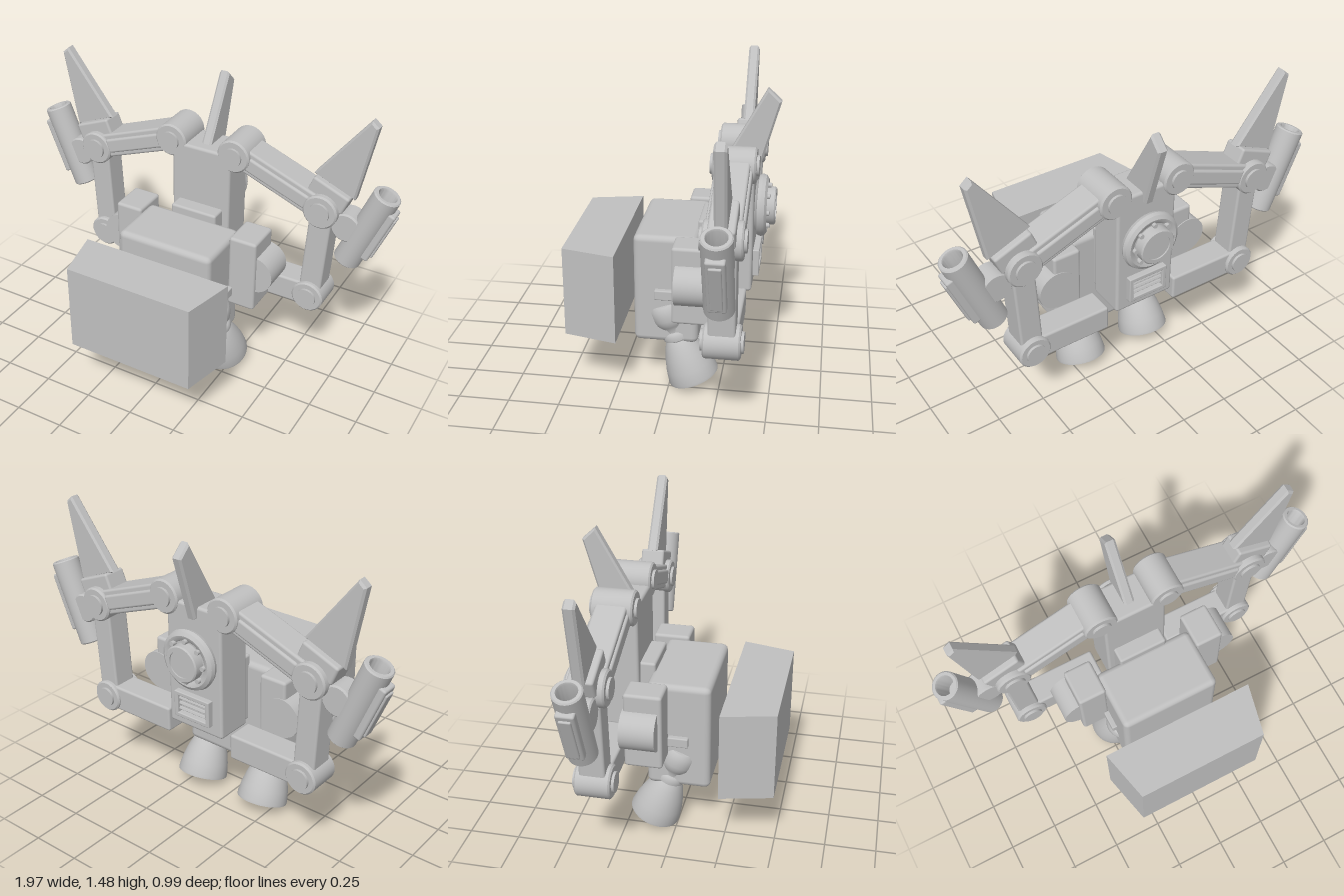
import * as THREE from 'three';
import { toCreasedNormals } from 'three/addons/utils/BufferGeometryUtils.js';
import { RoundedBoxGeometry } from 'three/addons/geometries/RoundedBoxGeometry.js';

const ARM_Z = -0.3; // depth plane of the arms

export function createModel() {
  const model = new THREE.Group();
  const grey = new THREE.MeshStandardMaterial({ color: 0xc0c0c0 });
  grey.name = 'light grey';

  function add(name, geo, x, y, z, rx = 0, rz = 0, parent = model) {
    const m = new THREE.Mesh(geo, grey);
    m.name = name;
    m.position.set(x, y, z);
    m.rotation.set(rx, 0, rz);
    parent.add(m);
    return m;
  }
  const box = (w, h, d, r = 0.012) => new RoundedBoxGeometry(w, h, d, 2, r);
  const lathe = (pts, n = 36) =>
    toCreasedNormals(new THREE.LatheGeometry(pts.map(p => new THREE.Vector2(...p)), n), 0.6);
  const prism = (pts, depth, bevel = 0) => {
    const g = new THREE.ExtrudeGeometry(new THREE.Shape(pts.map(p => new THREE.Vector2(...p))), {
      depth: depth - 2 * bevel, bevelEnabled: bevel > 0, bevelSize: bevel, bevelThickness: bevel,
      bevelOffset: -bevel, bevelSegments: 1,
    });
    return g.translate(0, 0, bevel - depth / 2);
  };
  // Disc joint whose axis runs front to back, with a small cap at both ends
  const joint = (name, x, y, r, depth, cap = 0) => {
    const e = Math.min(0.008, r * 0.1);
    const h = depth / 2;
    add(name, lathe([[0, -h], [r - e, -h], [r, -h + e], [r, h - e], [r - e, h], [0, h]]), x, y, ARM_Z, Math.PI / 2);
    if (cap) add(name + 'Cap', new THREE.CylinderGeometry(cap, cap, depth + 0.026, 28), x, y, ARM_Z, Math.PI / 2);
  };
  // Box beam between two points in the arm plane
  const beam = (name, x0, y0, x1, y1, w, d) =>
    add(name, box(Math.hypot(x1 - x0, y1 - y0), w, d), (x0 + x1) / 2, (y0 + y1) / 2, ARM_Z,
      0, Math.atan2(y1 - y0, x1 - x0));

  // Floating front block, narrower toward the front
  const block = prism([[-0.39, -0.235], [0.39, -0.235], [0.33, -0.495], [-0.33, -0.495]], 0.455);
  add('frontBlock', block, 0, 0.5275, 0, -Math.PI / 2);

  // Torso, bracket and backpack
  add('torso', box(0.51, 0.56, 0.315, 0.03), 0, 0.53, 0.0125);
  add('sideRail', box(0.56, 0.05, 0.1, 0.006), 0, 0.515, 0.015);
  add('bracket', box(0.25, 0.35, 0.12), 0, 0.675, -0.185);
  add('backpack', box(0.32, 0.65, 0.19, 0.015), 0, 0.835, -0.295);

  // Tail fin on the backpack, leaning backward
  const fin = prism([[0.22, 1.1], [0.43, 1.48], [0.495, 1.42], [0.405, 1.1]], 0.052, 0.01);
  add('centreFin', fin, 0, 0, 0).rotation.y = Math.PI / 2;

  // Round turbine on the back
  const turbine = new THREE.Group();
  turbine.name = 'turbine';
  turbine.position.set(0, 0.9, -0.385);
  turbine.rotation.x = -Math.PI / 2;
  model.add(turbine);
  add('turbineDisc', lathe([[0.11, 0], [0.125, 0.012], [0.145, 0.018], [0.151, 0.035], [0.145, 0.052],
    [0.128, 0.063], [0.108, 0.058], [0.1, 0.05], [0, 0.05]]), 0, 0, 0, 0, 0, turbine);
  add('turbineHub', lathe([[0.092, 0.04], [0.092, 0.095], [0.086, 0.101], [0.066, 0.101], [0.066, 0.094], [0, 0.094]]),
    0, 0, 0, 0, 0, turbine);
  for (let i = 0; i < 8; i++) {
    const a = i / 8 * Math.PI * 2;
    add('turbineBolt', new THREE.CylinderGeometry(0.012, 0.012, 0.03, 10),
      0.104 * Math.cos(a), 0.06, 0.104 * Math.sin(a), 0, 0, turbine);
  }

  // Louvred vent below the turbine
  for (const s of [-1, 1]) {
    add('ventFrameSide', box(0.022, 0.136, 0.04, 0.005), s * 0.094, 0.637, -0.4);
    add('ventFrameEdge', box(0.21, 0.022, 0.04, 0.005), 0, 0.637 + s * 0.057, -0.4);
  }
  for (let i = -1; i <= 1; i++) add('ventSlat', box(0.18, 0.016, 0.02, 0.003), 0, 0.637 + i * 0.028, -0.398, 0.4);

  for (const s of [-1, 1]) {
    // Shoulder pack and round pod
    add('sidePack', box(0.145, 0.39, 0.185, 0.015), s * 0.322, 0.626, -0.128);
    add('sidePod', new THREE.CylinderGeometry(0.1, 0.1, 0.17, 36), s * 0.377, 0.635, -0.14, Math.PI / 2);

    // Folding arm: lower beam, upright and upper beam with joints
    beam('lowerArm', s * 0.19, 0.48, s * 0.6, 0.48, 0.13, 0.14);
    beam('uprightArm', s * 0.6, 0.475, s * 0.63, 0.985, 0.113, 0.125);
    beam('upperArm', s * 0.17, 1.16, s * 0.63, 0.985, 0.125, 0.15);
    beam('upperArmRidge', s * 0.24, 1.133, s * 0.56, 1.012, 0.075, 0.175);
    joint('lowerJoint', s * 0.6, 0.478, 0.082, 0.17, 0.05);
    joint('elbowJoint', s * 0.63, 0.985, 0.087, 0.18, 0.052);
    joint('shoulderJoint', s * 0.172, 1.16, 0.085, 0.2, 0.048);
    joint('launcherJoint', s * 0.752, 0.918, 0.075, 0.11);

    // Blade on its mount
    add('bladeMount', box(0.2, 0.1, 0.12), s * 0.652, 1.067, ARM_Z, 0, -s * 0.39);
    const blade = prism([[0.562, 1.15], [0.775, 1.06], [0.85, 1.452], [0.815, 1.482]].map(p => [s * p[0], p[1]]),
      0.055, 0.01);
    add('blade', blade, 0, 0, ARM_Z);

    // Launcher tube, open at the top, with an outer plate
    const launcher = new THREE.Group();
    launcher.name = 'launcher';
    launcher.position.set(s * 0.84, 0.92, ARM_Z);
    launcher.rotation.z = -s * 0.386;
    model.add(launcher);
    add('launcherTube', lathe([[0, -0.219], [0.062, -0.219], [0.068, -0.213], [0.068, 0.213], [0.062, 0.219],
      [0.048, 0.219], [0.044, 0.21], [0.044, 0.1], [0, 0.1]]), 0, 0, 0, 0, 0, launcher);
    add('launcherPlate', box(0.04, 0.3, 0.085, 0.01), s * 0.068, 0.01, 0, 0, 0, launcher);
    add('launcherRib', box(0.02, 0.25, 0.055, 0.006), s * 0.088, 0.01, 0, 0, 0, launcher);

    // Thruster with a hollow bell, tilted backward
    add('thruster', lathe([[0, 0.17], [0.05, 0.17], [0.085, 0.11], [0.112, 0.03], [0.118, 0], [0.127, 0],
      [0.128, 0.012], [0.119, 0.07], [0.103, 0.13], [0.08, 0.19], [0.066, 0.216], [0.062, 0.222],
      [0.073, 0.23], [0.075, 0.255], [0.068, 0.268], [0.062, 0.275], [0.064, 0.295], [0.074, 0.31],
      [0.084, 0.33], [0.088, 0.35], [0.088, 0.405], [0.075, 0.425], [0, 0.435]]),
      s * 0.195, 0.046, -0.12, 0.36);
  }
  return model;
}
